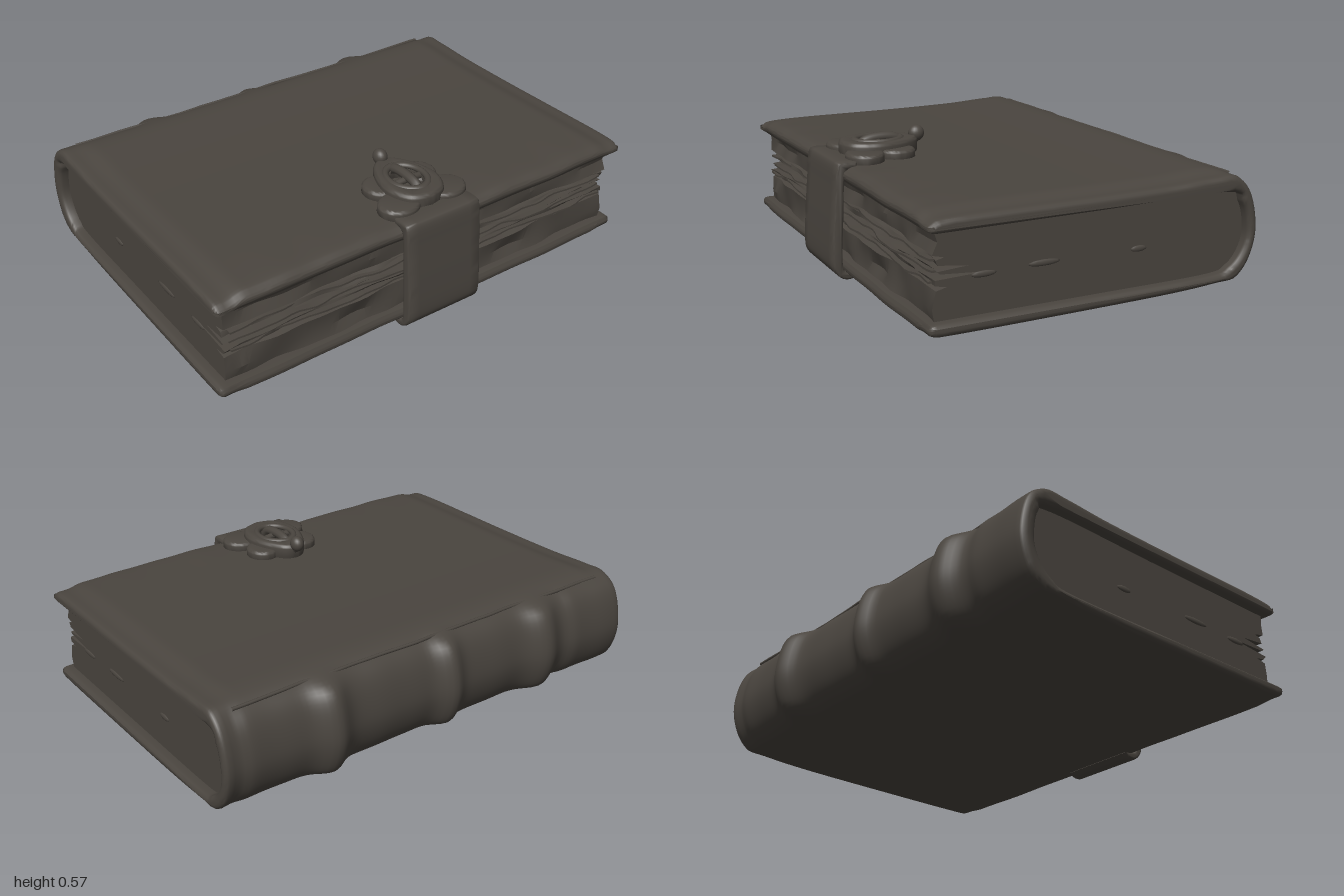
import * as THREE from 'three';
import { toCreasedNormals } from 'three/addons/utils/BufferGeometryUtils.js';

const leather = new THREE.MeshStandardMaterial({ color: 0x4a453f });
leather.name = 'dark leather';

const smooth = THREE.MathUtils.smoothstep;
const bell = (x, c, w) => Math.exp(-(((x - c) / w) ** 2));
const wave = (x, s) => 0.5 * Math.sin(x * 7.3 + s * 2.1) + 0.3 * Math.sin(x * 17.1 + s * 4.7) + 0.2 * Math.sin(x * 31 + s);

// Smooth curve through [z, y] points, in the profile plane (plane x = -z)
function spline(pts, n) {
  return new THREE.SplineCurve(pts.map(([z, y]) => new THREE.Vector2(-z, y))).getPoints(n);
}

// Extrude a [z, y] profile along x, centred, with rounded ends
function alongX(points, width, bevel, steps, rule, crease = 0.8) {
  const geo = new THREE.ExtrudeGeometry(new THREE.Shape(points), {
    depth: width - 2 * bevel, steps, curveSegments: 12,
    bevelEnabled: bevel > 0, bevelSize: bevel, bevelThickness: bevel, bevelOffset: -bevel, bevelSegments: 3,
  });
  geo.translate(0, 0, -width / 2 + bevel);
  geo.rotateY(Math.PI / 2);
  if (rule) {
    const p = geo.attributes.position, v = new THREE.Vector3();
    for (let i = 0; i < p.count; i++) {
      rule(v.fromBufferAttribute(p, i));
      p.setXYZ(i, v.x, v.y, v.z);
    }
  }
  return toCreasedNormals(geo, crease);
}

function add(group, name, geo, x = 0, y = 0, z = 0) {
  const m = new THREE.Mesh(geo, leather);
  m.name = name;
  m.position.set(x, y, z);
  group.add(m);
  return m;
}

// Flat plate lying on the cover: outline in x and z, rising from y = 0
function plate(shape, height, bevel) {
  const geo = new THREE.ExtrudeGeometry(shape, {
    depth: height - bevel, bevelEnabled: true, bevelSize: bevel, bevelThickness: bevel,
    bevelOffset: -bevel, bevelSegments: 4, curveSegments: 24,
  });
  geo.rotateX(-Math.PI / 2);
  return toCreasedNormals(geo, 0.8);
}

function tube(pts, r, closed = false) {
  const curve = new THREE.CatmullRomCurve3(pts.map((p) => new THREE.Vector3(...p)), closed);
  return new THREE.TubeGeometry(curve, 48, r, 10, closed);
}

export function createModel() {
  const book = new THREE.Group();
  book.name = 'book';

  // Cover: one U-shaped shell wrapping the spine
  const outer = spline([[0.68, 0.405], [0.69, 0.43], [0.675, 0.452], [0.61, 0.468], [0.3, 0.47], [0, 0.471], [-0.3, 0.476],
    [-0.53, 0.486], [-0.62, 0.455], [-0.675, 0.38], [-0.7, 0.25], [-0.675, 0.14], [-0.62, 0.07],
    [-0.54, 0.048], [-0.3, 0.033], [0.2, 0.025], [0.6, 0.022], [0.675, 0.028], [0.69, 0.05], [0.68, 0.075]], 110);
  const inner = spline([[0.66, 0.077], [0, 0.08], [-0.48, 0.085], [-0.58, 0.11], [-0.635, 0.17], [-0.655, 0.25],
    [-0.63, 0.36], [-0.55, 0.41], [0, 0.405], [0.66, 0.4]], 60);
  add(book, 'cover', alongX([...outer, ...inner], 2, 0.02, 90, (v) => {
    const ax = Math.abs(v.x);
    // boards dip toward their ends
    const dip = 0.016 * smooth(ax, 0.87, 0.95) * (1 - smooth(-v.z, 0.5, 0.62));
    if (v.y > 0.43) v.y -= dip + 0.004 * wave(v.x, 1) * smooth(v.z, 0.4, 0.7);
    else if (v.y < 0.06) v.y += dip * 0.5;
    // front edges wander a little
    v.z += 0.006 * wave(v.x * 0.6, 3) * smooth(v.z, 0.5, 0.69);
    // raised bands and flared ends on the spine
    const d = Math.hypot(v.z + 0.45, v.y - 0.25);
    const out = smooth(-v.z, 0.57, 0.66) * smooth(d, 0.2, 0.24);
    const lift = 0.045 * (bell(v.x, -0.55, 0.075) + bell(v.x, -0.04, 0.055) + bell(v.x, 0.53, 0.065))
      + 0.018 * smooth(-v.x, 0.66, 0.74) + 0.006 * wave(v.x, 5) - 0.012 * bell(v.x, 0.93, 0.03);
    v.z -= lift * out;
    v.y += lift * out * (v.y - 0.25) * 0.8;
  }));

  // Hinge seam beside the spine
  const seam = [];
  for (let i = 0; i <= 24; i++) {
    const x = -0.92 + i * 0.0765;
    seam.push([x, 0.463, -0.612 + 0.006 * wave(x, 2)]);
  }
  add(book, 'hingeSeam', tube(seam, 0.007));

  // Page block: worn front edge with gaps between the gatherings
  const pageFront = [[0.65, 0.075], [0.645, 0.12], [0.65, 0.185], [0.6, 0.195], [0.64, 0.203], [0.645, 0.222],
    [0.45, 0.232], [0.63, 0.242], [0.64, 0.252], [0.52, 0.262], [0.645, 0.275], [0.635, 0.295], [0.6, 0.303],
    [0.65, 0.315], [0.645, 0.36], [0.65, 0.405]].map(([z, y]) => new THREE.Vector2(-z, y));
  const pageBack = spline([[0.3, 0.408], [-0.55, 0.412], [-0.635, 0.36], [-0.66, 0.25], [-0.64, 0.17], [-0.58, 0.105],
    [-0.48, 0.08], [0.3, 0.075]], 40);
  add(book, 'pages', alongX([...pageFront, ...pageBack].reverse(), 1.91, 0, 60, (v) => {
    const front = smooth(v.z, 0.4, 0.65);
    v.z += 0.014 * wave(v.x, v.y * 30) * front;
    v.y += 0.012 * wave(v.x * 0.7, 2) * front * bell(v.y, 0.245, 0.07);
  }, 0.5));

  // Loose sheets poking out of the gaps
  [[0.212, 0.66], [0.25, 0.655], [0.29, 0.65]].forEach(([y, z], k) => {
    const sheet = spline([[z, y - 0.004], [z, y + 0.004]], 1);
    const root = spline([[z - 0.2, y + 0.006], [z - 0.2, y - 0.006]], 1);
    add(book, 'looseSheet', alongX([...sheet, ...root], 1.86, 0, 50, (v) => {
      v.y += 0.012 * wave(v.x, k * 3);
      v.z += 0.012 * wave(v.x * 1.4, k + 6);
    }, 0.5));
  });

  // Small splits in the page ends
  for (const side of [-1, 1]) {
    for (const [z, y, len] of [[0.46, 0.225, 0.05], [0.22, 0.232, 0.065], [-0.18, 0.23, 0.035]]) {
      add(book, 'pageSplit', new THREE.SphereGeometry(1, 12, 8), side * 0.955, y, z).scale.set(0.006, 0.012, len);
    }
  }

  // Strap folded over the front edge
  const strapOuter = spline([[0.63, 0.482], [0.69, 0.484], [0.715, 0.465], [0.725, 0.37], [0.738, 0.22], [0.745, 0.09],
    [0.735, 0.04], [0.7, 0.006], [0.66, 0.003], [0.63, 0.02]], 40);
  const strapInner = spline([[0.64, 0.035], [0.68, 0.035], [0.7, 0.06], [0.695, 0.2], [0.685, 0.4], [0.67, 0.45], [0.63, 0.455]], 24);
  add(book, 'strap', alongX([...strapOuter, ...strapInner].reverse(), 0.36, 0.01, 8, null));

  // Clasp on the top board
  const clasp = new THREE.Group();
  clasp.name = 'clasp';
  book.add(clasp);

  // Four-lobed mount
  const lobes = [[0.115, 0.575, 0.088, 0.078], [0.1, 0.43, 0.068, 0.075]];
  for (const side of [-1, 1]) {
    for (const [x, z, rx, rz] of lobes) {
      const s = new THREE.Shape();
      s.absellipse(0, 0, rx, rz, 0, Math.PI * 2);
      add(clasp, 'mountLobe', plate(s, 0.04, 0.014), side * x, 0.465, z);
    }
  }

  // Tear-shaped buckle with an oval opening
  const tear = new THREE.Shape(new THREE.SplineCurve([[0, -0.64], [0.08, -0.61], [0.12, -0.52], [0.105, -0.42], [0.055, -0.33],
    [0, -0.305], [-0.055, -0.33], [-0.105, -0.42], [-0.12, -0.52], [-0.08, -0.61], [0, -0.64]]
    .map(([x, y]) => new THREE.Vector2(x, y))).getPoints(60).slice(0, -1));
  const hole = new THREE.Path();
  hole.absellipse(0, -0.475, 0.068, 0.09, 0, Math.PI * 2, true);
  tear.holes.push(hole);
  add(clasp, 'buckle', plate(tear, 0.055, 0.018), 0, 0.478, 0);

  // Rim, crossbar and arched pin inside the buckle
  const rim = add(clasp, 'buckleRim', new THREE.TorusGeometry(0.076, 0.013, 10, 40), 0, 0.527, 0.475);
  rim.rotation.x = Math.PI / 2;
  rim.scale.y = 1.28;
  add(clasp, 'crossbar', tube([[-0.075, 0.512, 0.475], [0, 0.518, 0.48], [0.075, 0.512, 0.475]], 0.014));
  add(clasp, 'pin', tube([[0, 0.5, 0.56], [0, 0.525, 0.53], [0, 0.535, 0.46], [0, 0.528, 0.4], [0, 0.51, 0.37]], 0.02));

  // Curled finial with a rounded knob
  add(clasp, 'finial', tube([[0, 0.505, 0.4], [0, 0.502, 0.35], [0, 0.512, 0.32], [0, 0.535, 0.305]], 0.023));
  add(clasp, 'knob', new THREE.SphereGeometry(0.034, 20, 14), 0, 0.537, 0.302).scale.x = 0.85;

  return book;
}
